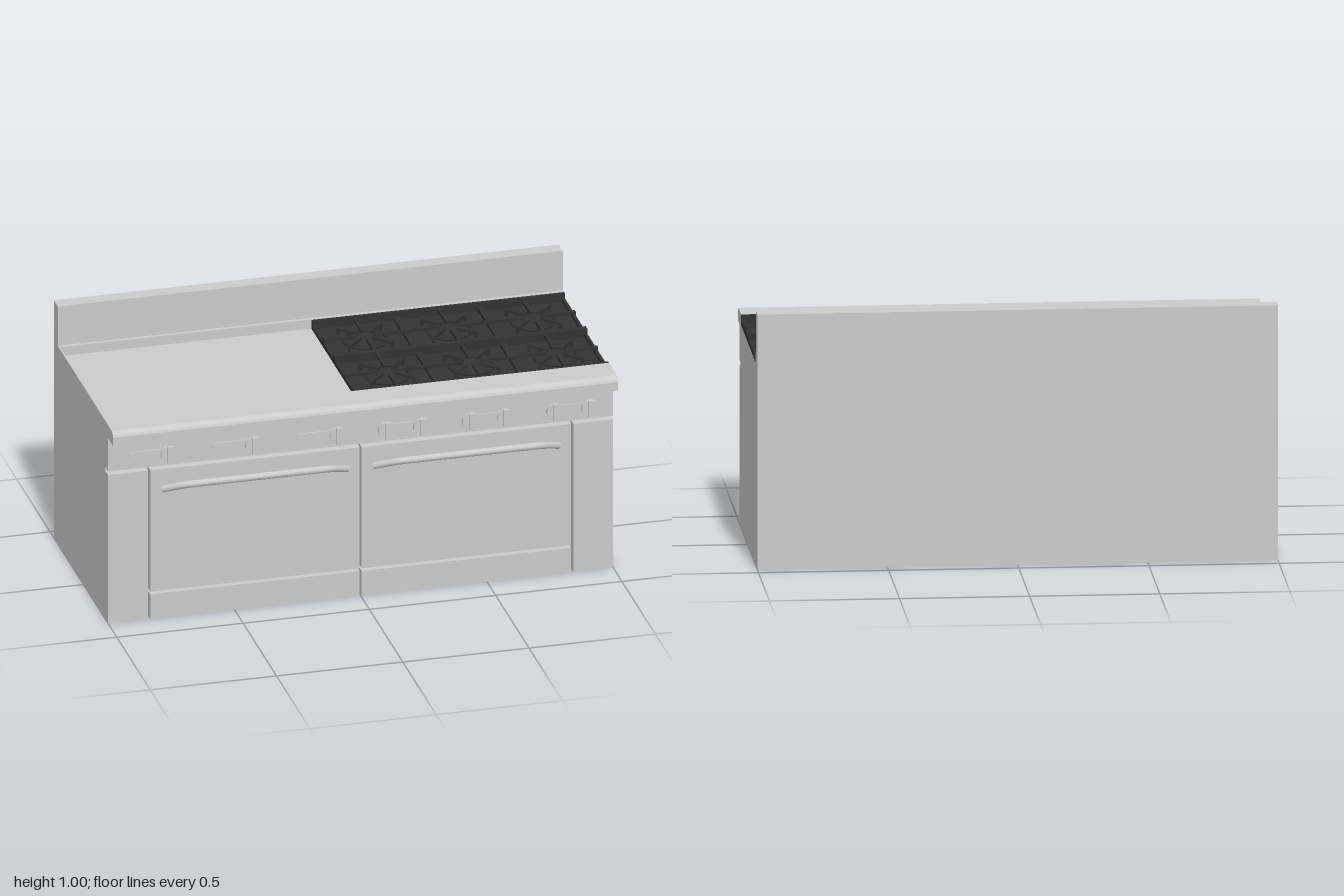
import * as THREE from 'three';

const steel = new THREE.MeshStandardMaterial({ color: 0xcccccc });
const iron = new THREE.MeshStandardMaterial({ color: 0x333333 });

function add(parent, name, geometry, material = steel) {
  const mesh = new THREE.Mesh(geometry, material);
  mesh.name = name;
  parent.add(mesh);
  return mesh;
}

// Box given by its minimum and maximum on each axis
function box(parent, name, [x0, x1], [y0, y1], [z0, z1], material = steel) {
  const mesh = add(parent, name, new THREE.BoxGeometry(x1 - x0, y1 - y0, z1 - z0), material);
  mesh.position.set((x0 + x1) / 2, (y0 + y1) / 2, (z0 + z1) / 2);
  return mesh;
}

// Profile of [z, y] points swept across the full width
function sweepX(parent, name, points) {
  const shape = new THREE.Shape(points.map(([z, y]) => new THREE.Vector2(-z, y)));
  const geometry = new THREE.ExtrudeGeometry(shape, { depth: 2, bevelEnabled: false });
  geometry.rotateY(Math.PI / 2).translate(-1, 0, 0);
  return add(parent, name, geometry);
}

// Disc whose axis points to the front
function disc(parent, name, r, z0, z1, sides = 24) {
  const mesh = add(parent, name, new THREE.CylinderGeometry(r, r, z1 - z0, sides).rotateX(Math.PI / 2));
  mesh.position.z = (z0 + z1) / 2;
  return mesh;
}

function makeKnob(x) {
  const knob = new THREE.Group();
  knob.name = 'knob';
  disc(knob, 'knobStem', 0.022, 0.368, 0.388);
  disc(knob, 'knobDial', 0.034, 0.385, 0.396);
  box(knob, 'knobGrip', [-0.01, 0.01], [-0.034, 0.034], [0.39, 0.405]);
  knob.position.set(x, 0.695, 0);
  return knob;
}

// Flat rounded plate behind the knobs
function knobPlate(parent, x0, x1) {
  const r = 0.016, shape = new THREE.Shape();
  shape.absarc(x1 - r, 0, r, -Math.PI / 2, Math.PI / 2, false);
  shape.absarc(x0 + r, 0, r, Math.PI / 2, Math.PI * 1.5, false);
  const plate = add(parent, 'knobPlate', new THREE.ExtrudeGeometry(shape, { depth: 0.007, bevelEnabled: false }));
  plate.position.set(0, 0.695, 0.368);
}

function makeHandle(cx) {
  const path = new THREE.CurvePath();
  const p = [[-0.365, 0.54, 0.366], [-0.3, 0.566, 0.407], [-0.25, 0.574, 0.421],
    [0.25, 0.574, 0.421], [0.3, 0.566, 0.407], [0.365, 0.54, 0.366]]
    .map(([x, y, z]) => new THREE.Vector3(cx + x, y, z));
  const corner = (a, b) => new THREE.Vector3().addVectors(a, b).multiplyScalar(0.5).setY(0.574).setZ(0.421);
  path.add(new THREE.LineCurve3(p[0], p[1]));
  path.add(new THREE.QuadraticBezierCurve3(p[1], corner(p[1], p[2]), p[2]));
  path.add(new THREE.LineCurve3(p[2], p[3]));
  path.add(new THREE.QuadraticBezierCurve3(p[3], corner(p[3], p[4]), p[4]));
  path.add(new THREE.LineCurve3(p[4], p[5]));
  return new THREE.TubeGeometry(path, 80, 0.014, 12);
}

// One burner with its square grate
function makeGrate(cx, cz) {
  const grate = new THREE.Group();
  grate.name = 'burnerGrate';
  const w = 1 / 6, d = 0.1675, t = 0.012;
  for (const s of [-1, 1]) {
    const x = s * (w - t / 2), z = s * (d - t / 2);
    box(grate, 'grateSide', [x - t / 2, x + t / 2], [0.796, 0.814], [-d, d], iron);
    box(grate, 'grateEnd', [-w, w], [0.796, 0.835], [z - t / 2, z + t / 2], iron);
    box(grate, 'grateRest', [x - t / 2, x + t / 2], [0.81, 0.83], [-0.008, 0.008], iron);
  }
  // Burner ring and cap
  const ring = add(grate, 'burnerRing', new THREE.TorusGeometry(0.085, 0.006, 6, 32).rotateX(Math.PI / 2), iron);
  ring.position.y = 0.808;
  const cap = add(grate, 'burnerCap', new THREE.CylinderGeometry(0.035, 0.045, 0.014, 24), iron);
  cap.position.y = 0.807;
  // Fingers pointing at the burner
  for (let i = 0; i < 8; i++) {
    const end = i % 2 ? 0.125 : 0.164;
    const arm = new THREE.Group();
    arm.name = 'grateFinger';
    box(arm, 'fingerBar', [0.035, end], [0.818, 0.83], [-0.005, 0.005], iron);
    if (i % 2) box(arm, 'fingerFoot', [end - 0.012, end], [0.798, 0.82], [-0.005, 0.005], iron);
    arm.rotation.y = i * Math.PI / 4;
    grate.add(arm);
  }
  grate.position.set(cx, 0, cz);
  return grate;
}

export function createModel() {
  const range = new THREE.Group();
  range.name = 'kitchenRange';

  // Cabinet with the rear ledge and backguard in one profile
  sweepX(range, 'cabinet', [[0.325, 0], [0.325, 0.795], [-0.37, 0.795], [-0.37, 0.835],
    [-0.385, 0.835], [-0.385, 1], [-0.445, 1], [-0.445, 0]]);

  // Control panel and rounded front rail
  sweepX(range, 'controlPanelAndRail', [[0.325, 0.64], [0.37, 0.64], [0.37, 0.78], [0.445, 0.78],
    [0.445, 0.815], [0.441, 0.824], [0.433, 0.831], [0.422, 0.835], [0.305, 0.835], [0.305, 0.795], [0.325, 0.795]]);

  // Griddle on the right half with a thin side wall
  box(range, 'griddlePlate', [-0.995, 0], [0.793, 0.797], [-0.37, 0.305]);
  box(range, 'griddleWall', [-1, -0.995], [0.79, 0.835], [-0.37, 0.305]);

  // Burner tray and six grates
  box(range, 'burnerTray', [0, 1], [0.794, 0.8], [-0.366, 0.305], iron);
  for (let i = 0; i < 3; i++)
    for (const z of [-0.198, 0.137]) range.add(makeGrate((i + 0.5) / 3, z));

  // Front columns, oven doors, kick plates and handles
  for (const s of [-1, 1]) {
    const span = (a, b) => (s > 0 ? [a, b] : [-b, -a]);
    const front = [0.325, 0.37];
    box(range, 'sideColumn', span(0.842, 1), [0, 0.625], front);
    box(range, 'ovenDoor', span(0.004, 0.833), [0.115, 0.625], front);
    box(range, 'kickPlate', span(0.004, 0.833), [0, 0.103], front);
    add(range, 'doorHandle', makeHandle(s * 0.418));
  }

  // Griddle knobs with long plates
  for (const x of [-0.762, -0.428, -0.093]) {
    range.add(makeKnob(x));
    knobPlate(range, x - 0.16, x);
  }
  // Paired burner knobs
  for (const x of [0.168, 0.5, 0.834]) {
    for (const dx of [-0.069, 0.069]) range.add(makeKnob(x + dx));
    knobPlate(range, x - 0.1, x + 0.1);
  }
  return range;
}
